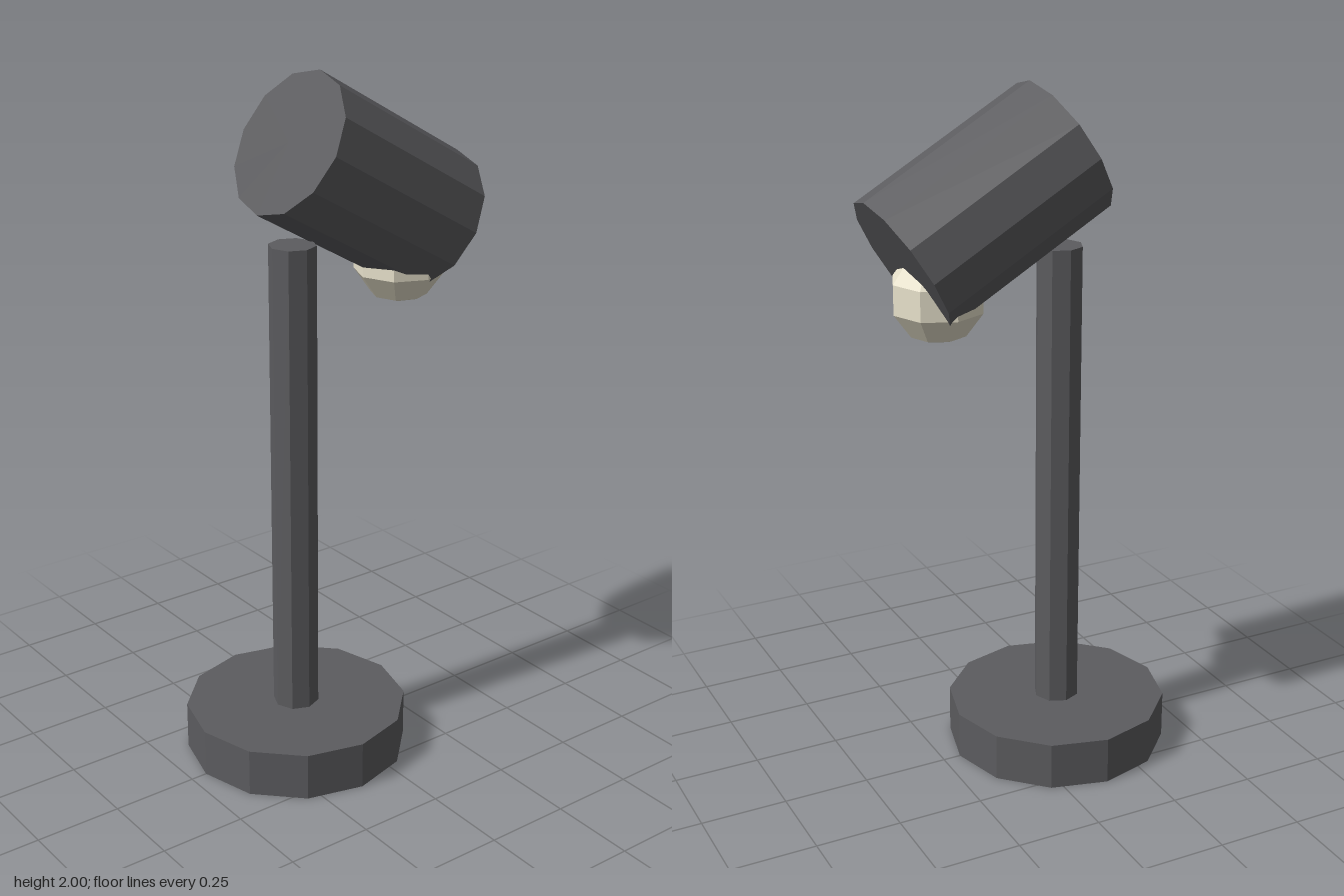
import * as THREE from 'three';

const metal = new THREE.MeshStandardMaterial({ color: 0x5c5c5f, flatShading: true });
const glow = new THREE.MeshStandardMaterial({ color: 0xe8e2cc, flatShading: true });

function part(name, geometry, material, y, z) {
  const mesh = new THREE.Mesh(geometry, material);
  mesh.name = name;
  mesh.position.set(0, y, z);
  return mesh;
}

export function createModel() {
  const model = new THREE.Group();
  model.name = 'lamp';

  // Round foot and upright post
  const standZ = 0.127;
  model.add(part('base', new THREE.CylinderGeometry(0.325, 0.325, 0.14, 12), metal, 0.07, standZ));
  model.add(part('post', new THREE.CylinderGeometry(0.067, 0.067, 1.4, 8), metal, 0.84, standZ));

  // Tilted lamp head, pointing down towards the back
  const head = part('lampHead', new THREE.CylinderGeometry(0.209, 0.209, 0.56, 12), metal, 1.68, -0.105);
  head.rotation.x = Math.PI / 3;
  model.add(head);

  // Bulb poking out of the lower end of the head
  model.add(part('bulb', new THREE.SphereGeometry(0.137, 8, 5), glow, 1.447, -0.245));

  return model;
}
